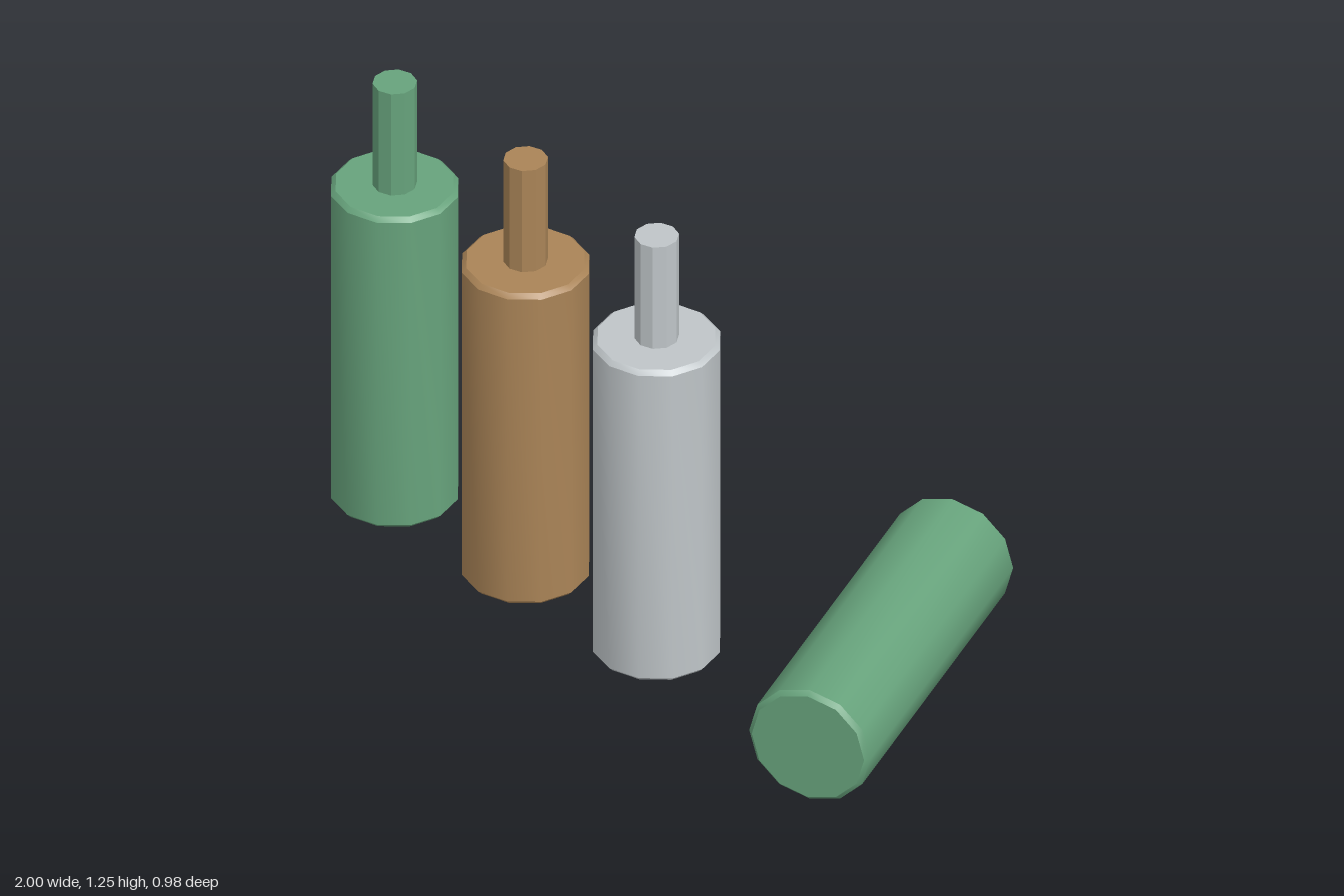
import * as THREE from 'three';
import { toCreasedNormals } from 'three/addons/utils/BufferGeometryUtils.js';

const RADIUS = 0.164, HEIGHT = 0.938, BEVEL = 0.012;

function material(name, color) {
  const m = new THREE.MeshStandardMaterial({ color });
  m.name = name;
  return m;
}

// Twelve-sided body with a small bevel at both ends, centred on its own middle
function bodyGeometry() {
  const h = HEIGHT / 2;
  const profile = [
    [0, -h], [RADIUS - BEVEL, -h], [RADIUS, -h + BEVEL],
    [RADIUS, h - BEVEL], [RADIUS - BEVEL, h], [0, h],
  ].map(([x, y]) => new THREE.Vector2(x, y));
  return toCreasedNormals(new THREE.LatheGeometry(profile, 12), 0.7);
}

// Ten-sided faceted neck
function neckGeometry() {
  return toCreasedNormals(new THREE.CylinderGeometry(0.056, 0.056, 0.32, 10), 0.1);
}

export function createModel() {
  const model = new THREE.Group();
  model.name = 'bottles';
  const green = material('green glass', 0x67a37c);
  const brown = material('brown glass', 0xaa8457);
  const clear = material('pale grey glass', 0xbfc5c8);
  const bodyGeo = bodyGeometry();
  const neckGeo = neckGeometry();

  // Three standing bottles in a row
  const standing = [['greenBottle', green, -0.835], ['brownBottle', brown, -0.365], ['greyBottle', clear, 0.105]];
  for (const [name, mat, x] of standing) {
    const bottle = new THREE.Group();
    bottle.name = name;
    const body = new THREE.Mesh(bodyGeo, mat);
    body.name = 'body';
    body.position.y = 0.006 + HEIGHT / 2;
    const neck = new THREE.Mesh(neckGeo, mat);
    neck.name = 'neck';
    neck.position.y = 1.25 - 0.16;
    bottle.add(body, neck);
    bottle.position.set(x, 0, 0.235);
    model.add(bottle);
  }

  // Bottle body without a neck, lying on its side and turned toward the left front
  const fallen = new THREE.Group();
  fallen.name = 'fallenBottle';
  const fallenBody = new THREE.Mesh(bodyGeo, green);
  fallenBody.name = 'body';
  fallenBody.rotation.x = Math.PI / 2;
  fallen.add(fallenBody);
  fallen.rotation.y = 0.402;
  fallen.position.set(0.668, RADIUS, 0);
  model.add(fallen);

  return model;
}
